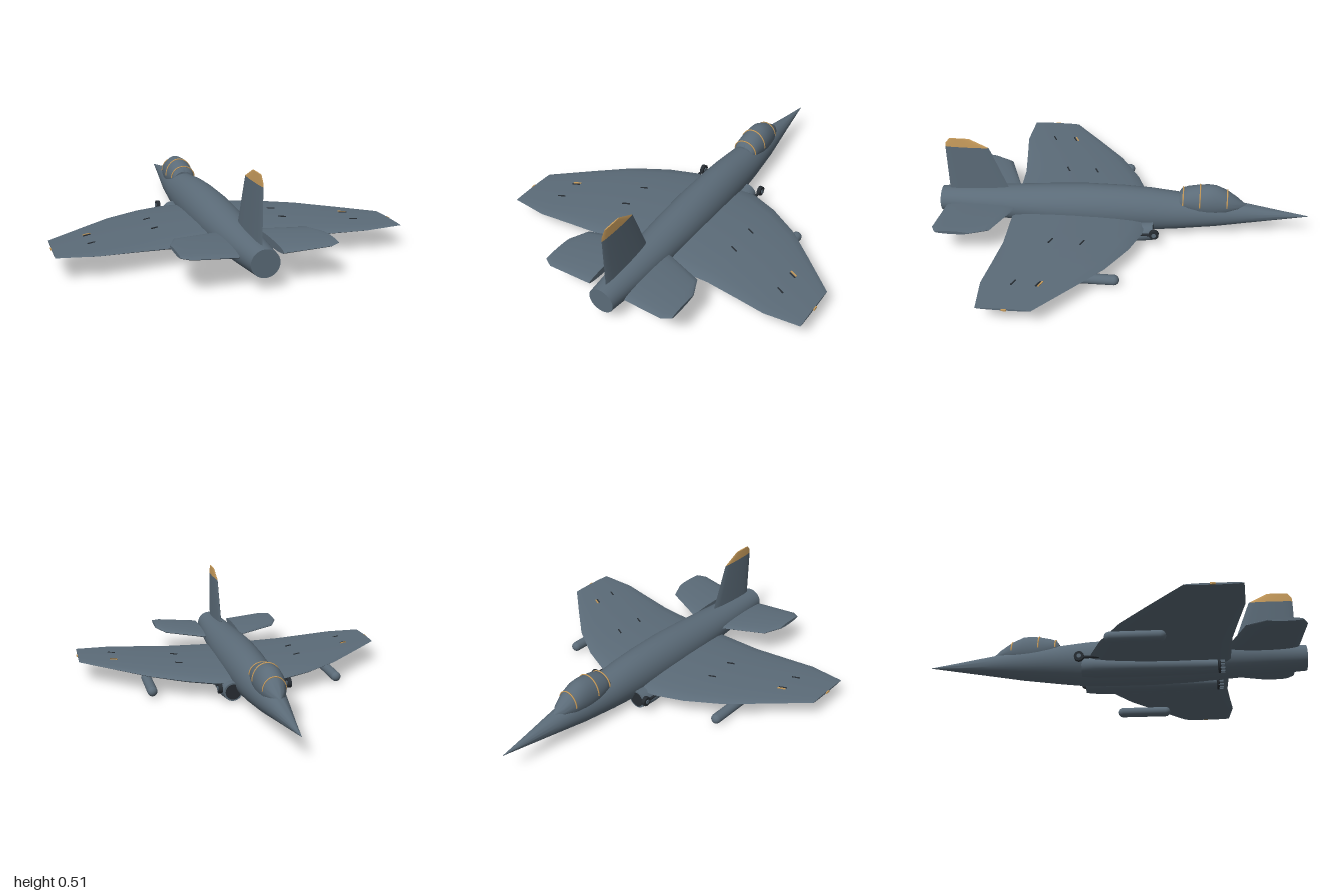
import * as THREE from 'three';
import { toCreasedNormals } from 'three/addons/utils/BufferGeometryUtils.js';

// Skin a list of equal-length rings into a closed, outward-facing solid
function loft(rings, crease = 0.6) {
  const n = rings[0].length, pos = rings.flat(2), index = [];
  for (let i = 0; i < rings.length - 1; i++) {
    for (let k = 0; k < n; k++) {
      const a = i * n + k, b = i * n + (k + 1) % n;
      index.push(a, b, a + n, b, b + n, a + n);
    }
  }
  const last = (rings.length - 1) * n;
  for (let k = 1; k < n - 1; k++) index.push(0, k + 1, k, last, last + k, last + k + 1);

  // Signed volume tells whether the corners must be reversed
  const v = (i) => new THREE.Vector3().fromArray(pos, index[i] * 3);
  let volume = 0;
  for (let i = 0; i < index.length; i += 3) volume += v(i).dot(v(i + 1).cross(v(i + 2)));
  if (volume < 0) index.reverse();

  const g = new THREE.BufferGeometry();
  g.setAttribute('position', new THREE.Float32BufferAttribute(pos, 3));
  g.setIndex(index);
  return toCreasedNormals(g, crease);
}

const circle = (n, f) => Array.from({ length: n }, (_, k) => {
  const a = (k / n) * Math.PI * 2;
  return f(Math.cos(a), Math.sin(a));
});

// Stations along z: [z, centre y, half width, half height]
const body = (stations, x = 0, n = 32) =>
  loft(stations.map(([z, y, rx, ry]) => circle(n, (c, s) => [x + c * rx, y + s * ry, z])));

// Stations along x: [x, leading z, trailing z, centre y, thickness]
const wing = (stations, side) =>
  loft(stations.map(([x, z0, z1, y, t]) =>
    circle(20, (c, s) => [side * x, y + s * t / 2, (z0 + z1) / 2 + c * (z1 - z0) / 2])), 0.9);

// Stations along y: [y, leading z, trailing z, thickness]
const fin = (stations) =>
  loft(stations.map(([y, z0, z1, t]) =>
    circle(16, (c, s) => [s * t / 2, y, (z0 + z1) / 2 + c * (z1 - z0) / 2])), 0.9);

export function createModel() {
  const group = new THREE.Group();
  const material = (name, color) => {
    const m = new THREE.MeshStandardMaterial({ color });
    m.name = name;
    return m;
  };
  const slate = material('slate skin', 0x5b6b78);
  const tan = material('tan trim', 0xc89c5c);
  const dark = material('dark metal', 0x272d33);

  const add = (name, geometry, mat, x = 0, y = 0, z = 0) => {
    const mesh = new THREE.Mesh(geometry, mat);
    mesh.name = name;
    mesh.position.set(x, y, z);
    group.add(mesh);
    return mesh;
  };

  // Fuselage, nose pointing to -z
  add('fuselage', body([
    [-1, 0.13, 0.001, 0.001], [-0.85, 0.13, 0.023, 0.025], [-0.67, 0.131, 0.051, 0.054],
    [-0.5, 0.13, 0.077, 0.08], [-0.3, 0.128, 0.097, 0.103], [-0.15, 0.128, 0.105, 0.12],
    [0, 0.13, 0.111, 0.124], [0.2, 0.13, 0.114, 0.123], [0.4, 0.128, 0.11, 0.112],
    [0.6, 0.128, 0.1, 0.096], [0.8, 0.128, 0.087, 0.082], [0.97, 0.129, 0.072, 0.069], [1, 0.129, 0.07, 0.067],
  ]), slate);

  // Canopy and its frame hoops
  add('canopy', body([
    [-0.665, 0.18, 0.004, 0.004], [-0.62, 0.185, 0.037, 0.037], [-0.56, 0.195, 0.061, 0.069],
    [-0.5, 0.2, 0.071, 0.092], [-0.46, 0.2, 0.074, 0.095], [-0.41, 0.2, 0.075, 0.089],
    [-0.35, 0.205, 0.07, 0.07], [-0.32, 0.205, 0.064, 0.058], [-0.305, 0.205, 0.052, 0.036],
  ]), slate);
  for (const [z, y, rx, ry] of [[-0.56, 0.195, 0.061, 0.069], [-0.415, 0.2, 0.075, 0.09], [-0.325, 0.205, 0.067, 0.062]]) {
    add('canopyFrame', new THREE.TorusGeometry(1, 0.05, 6, 36, Math.PI), tan, 0, y, z).scale.set(rx, ry, 0.08);
  }

  // Tail fin with a painted cap
  add('tailFin', fin([[0.17, 0.61, 0.955, 0.024], [0.465, 0.72, 0.955, 0.013]]), slate);
  add('tailFinCap', fin([[0.465, 0.72, 0.955, 0.013], [0.485, 0.76, 0.953, 0.011], [0.515, 0.82, 0.93, 0.007]]), tan);

  for (const side of [1, -1]) {
    // Main wing and tailplane
    add('wing', wing([
      [0.07, -0.13, 0.6, 0.095, 0.076], [0.19, -0.12, 0.6, 0.098, 0.07], [0.34, -0.06, 0.6, 0.103, 0.058],
      [0.52, 0.05, 0.623, 0.109, 0.042], [0.68, 0.19, 0.645, 0.114, 0.027], [0.87, 0.36, 0.63, 0.119, 0.01],
    ], side), slate);
    add('tailplane', wing([
      [0.105, 0.58, 0.955, 0.153, 0.04], [0.33, 0.67, 0.975, 0.171, 0.03], [0.375, 0.77, 0.95, 0.175, 0.018],
    ], side), slate);

    // Engine nacelle, fairing into the wing root, with ringed nozzle
    add('nacelle', body([
      [-0.17, 0.062, 0.05, 0.05], [-0.1, 0.056, 0.06, 0.05], [0.1, 0.05, 0.058, 0.045],
      [0.4, 0.047, 0.05, 0.04], [0.53, 0.046, 0.04, 0.033],
    ], side * 0.113, 24), slate);
    add('intakeFace', new THREE.CircleGeometry(0.042, 24), dark, side * 0.113, 0.062, -0.172).rotation.y = Math.PI;
    add('nozzleRing', new THREE.TorusGeometry(0.029, 0.007, 8, 24), dark, side * 0.113, 0.046, 0.54);
    add('nozzleFace', new THREE.CircleGeometry(0.03, 24), dark, side * 0.113, 0.046, 0.535);
    for (let k = 0; k < 10; k++) {
      const a = (k / 10) * Math.PI * 2;
      add('nozzlePetal', new THREE.BoxGeometry(0.009, 0.009, 0.03), slate,
        side * 0.113 + Math.cos(a) * 0.029, 0.046 + Math.sin(a) * 0.029, 0.552);
    }

    // Small wheel on a swept arm ahead of the wing
    add('wheel', new THREE.CylinderGeometry(0.026, 0.026, 0.02, 20).rotateZ(Math.PI / 2), dark, side * 0.187, 0.092, -0.18);
    add('wheelHub', new THREE.CylinderGeometry(0.012, 0.012, 0.027, 16).rotateZ(Math.PI / 2), slate, side * 0.187, 0.092, -0.18);
    add('wheelArm', new THREE.CylinderGeometry(0.006, 0.008, 0.12, 10).rotateX(Math.PI / 2), dark, side * 0.187, 0.088, -0.11);

    // Under-wing pod
    add('pod', new THREE.CapsuleGeometry(0.027, 0.246, 8, 20).rotateX(Math.PI / 2), slate, side * 0.515, 0.041, 0.125);

    // Small wing fittings and tip light
    for (const [x, y, z, mat] of [[0.34, 0.131, 0.185, dark], [0.34, 0.132, 0.35, dark], [0.68, 0.127, 0.357, dark],
      [0.68, 0.128, 0.345, tan], [0.68, 0.127, 0.48, dark]]) {
      add('wingFitting', new THREE.BoxGeometry(0.042, 0.006, 0.007), mat, side * x, y, z).rotation.y = side * -0.45;
    }
    add('tipLight', new THREE.BoxGeometry(0.009, 0.008, 0.026), tan, side * 0.872, 0.119, 0.49);
  }
  return group;
}
